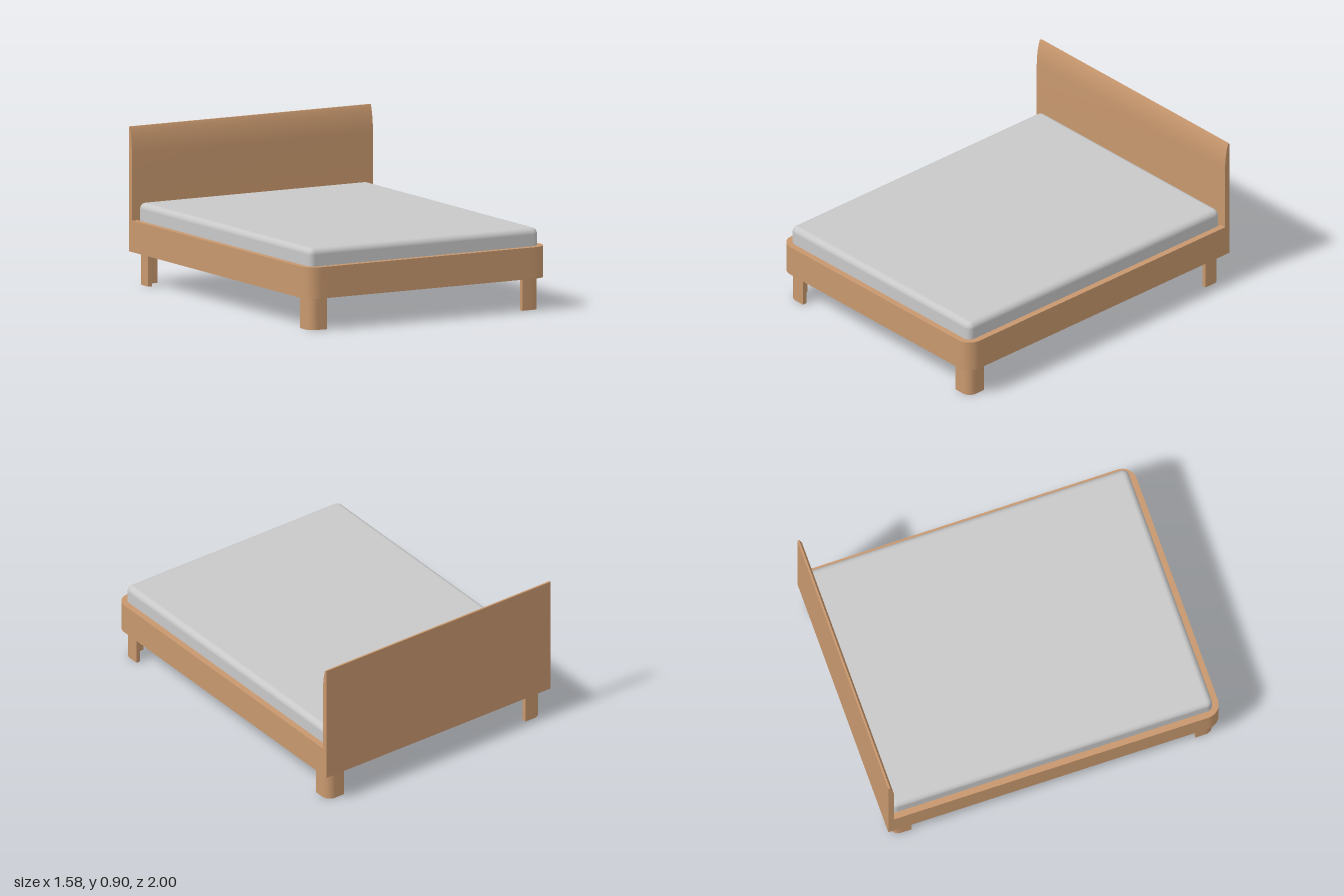
import * as THREE from 'three';
import { toCreasedNormals } from 'three/addons/utils/BufferGeometryUtils.js';
import { RoundedBoxGeometry } from 'three/addons/geometries/RoundedBoxGeometry.js';

const wood = new THREE.MeshStandardMaterial({ color: 0xc8986e });
wood.name = 'wood';
const fabric = new THREE.MeshStandardMaterial({ color: 0xc8c8c8 });
fabric.name = 'mattress grey';

const HALF_W = 0.79, BACK = -0.965, RAIL_LOW = 0.185, RAIL_TOP = 0.365;
const RAIL_T = 0.037, CORNER = 0.14;

export function createModel() {
  const model = new THREE.Group();

  function add(name, geometry, material, x = 0, y = 0, z = 0) {
    const mesh = new THREE.Mesh(geometry, material);
    mesh.name = name;
    mesh.position.set(x, y, z);
    model.add(mesh);
    return mesh;
  }

  // Box given by its limits on each axis
  function block(name, material, [x0, x1], [y0, y1], [z0, z1]) {
    add(name, new THREE.BoxGeometry(x1 - x0, y1 - y0, z1 - z0), material,
      (x0 + x1) / 2, (y0 + y1) / 2, (z0 + z1) / 2);
  }

  // Upright L-shaped wall with a rounded bend; sx and sz choose the corner
  function bentPost(name, sx, sz, { x, z, size, t, r, y0, y1 }) {
    const k = 0.5523;
    const s = new THREE.Shape();
    const bend = (ex, ez, rad, outward) => {
      const a = [ex - rad, ez], b = [ex, ez - rad];
      const ca = [ex - rad + k * rad, ez], cb = [ex, ez - rad + k * rad];
      const [p, c1, c2, q] = outward ? [a, ca, cb, b] : [b, cb, ca, a];
      s.lineTo(sx * p[0], sz * p[1]);
      s.bezierCurveTo(sx * c1[0], sz * c1[1], sx * c2[0], sz * c2[1], sx * q[0], sz * q[1]);
    };
    s.moveTo(sx * (x - size), sz * z);
    bend(x, z, r, true);
    s.lineTo(sx * x, sz * (z - size));
    s.lineTo(sx * (x - t), sz * (z - size));
    bend(x - t, z - t, r - t, false);
    s.lineTo(sx * (x - size), sz * (z - t));
    s.closePath();
    const g = new THREE.ExtrudeGeometry(s, { depth: y1 - y0, bevelEnabled: false, curveSegments: 10 });
    g.rotateX(Math.PI / 2);
    add(name, toCreasedNormals(g, 0.6), wood, 0, y1, 0);
  }

  // Headboard: flat panel whose front curves back near the top
  const profile = new THREE.Shape();
  profile.moveTo(1, RAIL_LOW);
  profile.lineTo(1, 0.9);
  profile.lineTo(0.989, 0.9);
  profile.bezierCurveTo(0.978, 0.875, 0.966, 0.82, -BACK, 0.75);
  profile.lineTo(-BACK, RAIL_LOW);
  profile.closePath();
  const board = new THREE.ExtrudeGeometry(profile, { depth: 2 * HALF_W, bevelEnabled: false, curveSegments: 12 });
  board.rotateY(Math.PI / 2);
  add('headboard', toCreasedNormals(board, 0.4), wood, -HALF_W);

  // Rails, rounded front corners and legs
  const railY = [RAIL_LOW, RAIL_TOP];
  block('frontRail', wood, [-HALF_W + CORNER, HALF_W - CORNER], railY, [1 - RAIL_T, 1]);
  for (const sx of [-1, 1]) {
    const side = sx > 0 ? 'left' : 'right';
    const inner = HALF_W - RAIL_T;
    block(side + 'SideRail', wood, sx > 0 ? [inner, HALF_W] : [-HALF_W, -inner], railY, [BACK, 1 - CORNER]);
    bentPost(side + 'FrontCorner', sx, 1,
      { x: HALF_W, z: 1, size: CORNER, t: RAIL_T, r: 0.085, y0: RAIL_LOW, y1: RAIL_TOP });
    for (const sz of [-1, 1]) {
      bentPost(side + (sz > 0 ? 'Front' : 'Back') + 'Leg', sx, sz,
        { x: 0.753, z: 0.962, size: 0.113, t: 0.026, r: 0.05, y0: 0, y1: 0.275 });
    }
    // Small support pads under the mattress edge
    for (const z of [-0.68, 0.04, 0.76]) {
      const pad = new THREE.BoxGeometry(0.04, 0.012, 0.08);
      add(side + 'SupportPad', pad, fabric, sx * 0.73, 0.266, z);
    }
  }

  // Centre beam under the mattress
  block('centreBeam', wood, [-0.04, 0.04], [0.225, 0.272], [BACK, 1 - RAIL_T]);

  // Mattress
  add('mattress', new RoundedBoxGeometry(1.506, 0.197, 1.922, 5, 0.036), fabric, 0, 0.3685, -0.003);

  return model;
}
